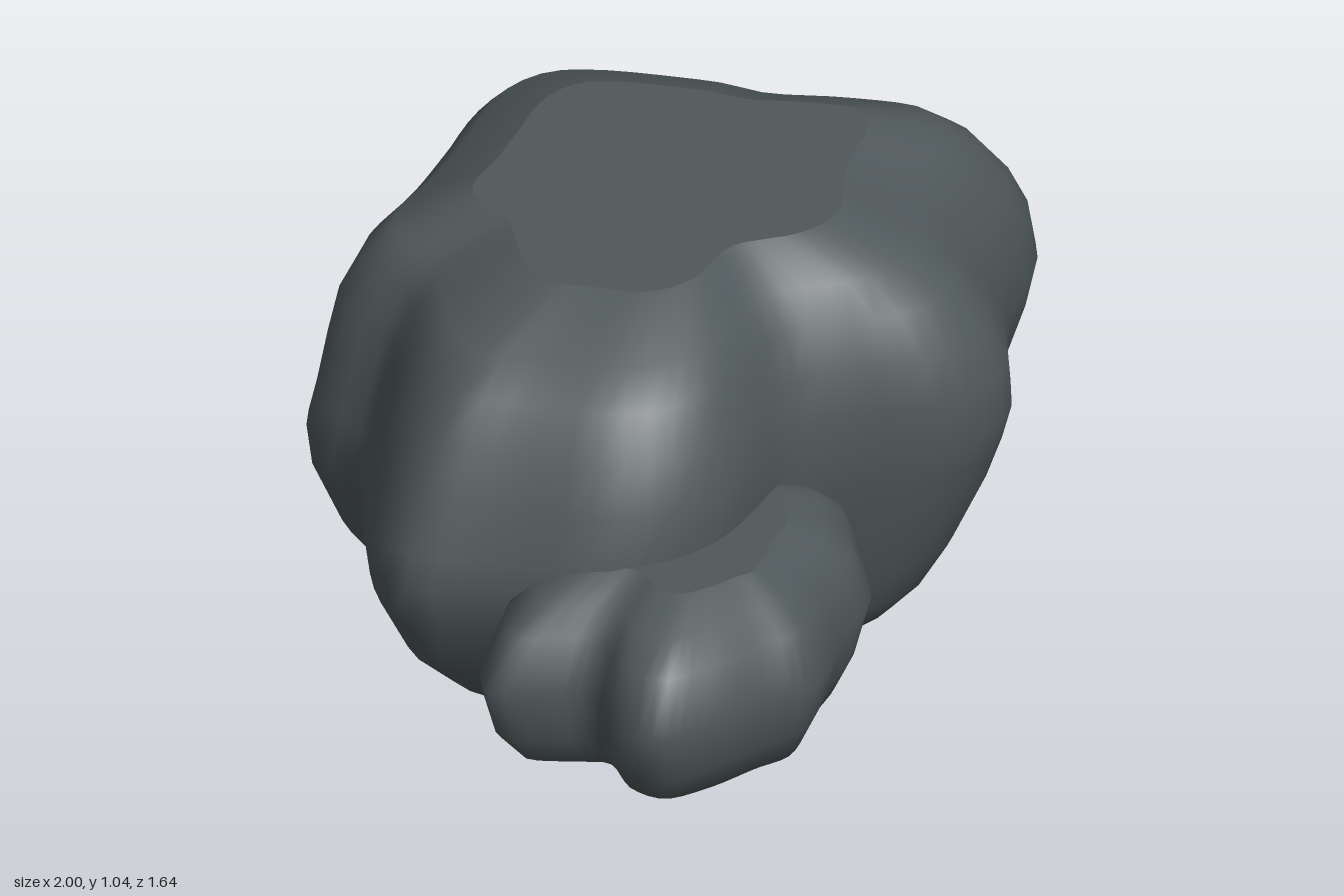
import * as THREE from 'three';

const SEGMENTS = 84;

// Lofts a lobed outline through levels of [y, left, right, back, front] extents about a centre.
function boulder(name, material, [cx, cz], outline, levels) {
  const curve = new THREE.CatmullRomCurve3(
    outline.map(([x, z]) => new THREE.Vector3(x - cx, 0, z - cz)), true, 'centripetal');
  const ring = curve.getSpacedPoints(SEGMENTS).slice(0, SEGMENTS);
  const max = [0, 1, 2, 3].map(i => Math.max(...levels.map(l => l[i + 1])));

  const positions = [], index = [];
  const addRing = ([y, ...extents]) => {
    const [l, r, b, f] = extents.map((e, i) => e / max[i]);
    const start = positions.length / 3;
    for (const p of ring) {
      positions.push(cx + p.x * (p.x < 0 ? l : r), y, cz + p.z * (p.z < 0 ? b : f));
    }
    return start;
  };

  // rounded side
  levels.forEach((level, k) => {
    const b = addRing(level);
    if (k === 0) return;
    const a = b - SEGMENTS;
    for (let i = 0; i < SEGMENTS; i++) {
      const j = (i + 1) % SEGMENTS;
      index.push(a + i, b + j, b + i, a + i, a + j, b + j);
    }
  });

  // flat bottom and top, with their own vertices to keep the rim sharp
  [levels[0], levels[levels.length - 1]].forEach((level, top) => {
    const a = addRing(level);
    const centre = positions.length / 3;
    positions.push(cx, level[0], cz);
    for (let i = 0; i < SEGMENTS; i++) {
      const j = (i + 1) % SEGMENTS;
      if (top) index.push(centre, a + i, a + j);
      else index.push(centre, a + j, a + i);
    }
  });

  const geometry = new THREE.BufferGeometry();
  geometry.setAttribute('position', new THREE.Float32BufferAttribute(positions, 3));
  geometry.setIndex(index);
  geometry.computeVertexNormals();
  const mesh = new THREE.Mesh(geometry, material);
  mesh.name = name;
  return mesh;
}

export function createModel() {
  const group = new THREE.Group();
  group.name = 'rocks';
  const stone = new THREE.MeshStandardMaterial({ color: 0x4f585a });
  stone.name = 'slate grey';

  // outlines run counter-clockwise seen from above
  const largeOutline = [
    [0.38, -0.82], [0.51, -0.78], [0.6, -0.68], [0.7, -0.5], [0.76, -0.37], [0.79, -0.25],
    [0.9, -0.08], [0.97, 0.05], [1, 0.14], [0.97, 0.25], [0.88, 0.32], [0.74, 0.38],
    [0.6, 0.46], [0.47, 0.57], [0.36, 0.65], [0.23, 0.66], [0.12, 0.62], [0, 0.52],
    [-0.1, 0.46], [-0.2, 0.45], [-0.35, 0.48], [-0.5, 0.49], [-0.65, 0.44], [-0.75, 0.35],
    [-0.82, 0.2], [-0.87, 0.1], [-0.93, -0.01], [-0.9, -0.1], [-0.82, -0.2], [-0.7, -0.3],
    [-0.57, -0.42], [-0.55, -0.52], [-0.5, -0.61], [-0.4, -0.66], [-0.14, -0.7],
    [0.1, -0.76], [0.23, -0.8],
  ].reverse();
  group.add(boulder('largeRock', stone, [0, 0], largeOutline, [
    [0, 0.33, 0.48, 0.4, 0.26],
    [0.07, 0.6, 0.67, 0.59, 0.43],
    [0.14, 0.7, 0.76, 0.67, 0.49],
    [0.25, 0.82, 0.83, 0.75, 0.55],
    [0.4, 0.91, 0.93, 0.81, 0.61],
    [0.5, 0.93, 0.98, 0.82, 0.64],
    [0.58, 0.91, 1, 0.8, 0.66],
    [0.7, 0.86, 0.97, 0.785, 0.66],
    [0.8, 0.81, 0.92, 0.77, 0.62],
    [0.9, 0.74, 0.84, 0.72, 0.56],
    [0.97, 0.66, 0.75, 0.65, 0.48],
    [1.04, 0.42, 0.57, 0.49, 0.31],
  ]));

  const smallOutline = [
    [-1, 0.27], [-0.91, 0.19], [-0.82, 0.15], [-0.65, 0.11], [-0.4, 0.1], [-0.2, 0.2],
    [-0.06, 0.35], [0, 0.5], [-0.08, 0.6], [-0.18, 0.69], [-0.33, 0.74], [-0.54, 0.82],
    [-0.65, 0.79], [-0.82, 0.75], [-0.94, 0.69], [-0.95, 0.59], [-0.88, 0.46], [-0.95, 0.36],
  ].reverse();
  group.add(boulder('smallRock', stone, [-0.5, 0.4], smallOutline, [
    [0.1, 0.22, 0.26, 0.18, 0.21],
    [0.17, 0.39, 0.42, 0.25, 0.34],
    [0.25, 0.46, 0.47, 0.28, 0.38],
    [0.38, 0.5, 0.5, 0.3, 0.42],
    [0.5, 0.44, 0.45, 0.26, 0.375],
    [0.55, 0.35, 0.39, 0.22, 0.31],
    [0.59, 0.22, 0.3, 0.16, 0.23],
  ]));

  return group;
}
